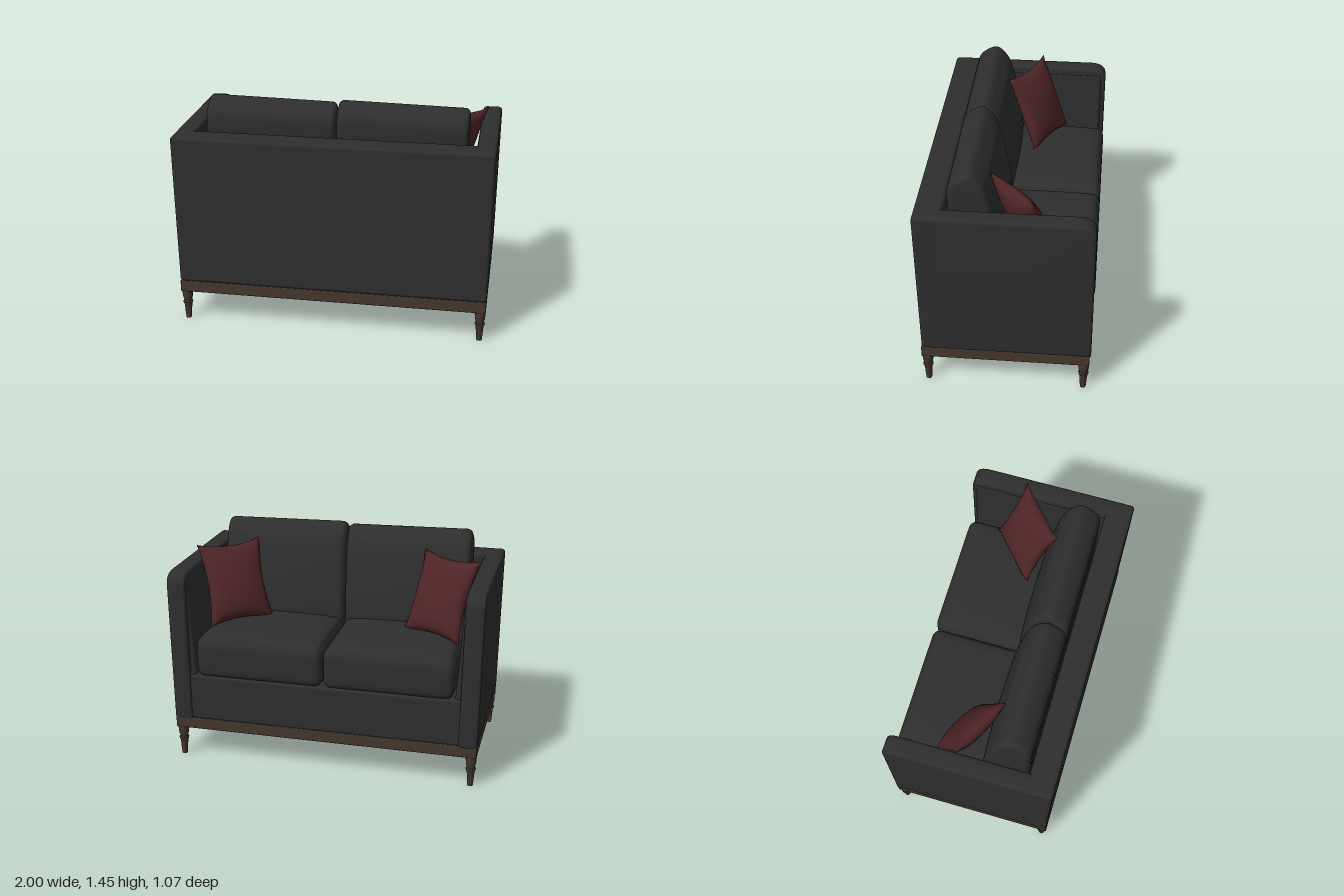
import * as THREE from 'three';
import { mergeVertices, toCreasedNormals } from 'three/addons/utils/BufferGeometryUtils.js';
import { RoundedBoxGeometry } from 'three/addons/geometries/RoundedBoxGeometry.js';

const material = (name, color) => {
  const m = new THREE.MeshStandardMaterial({ color });
  m.name = name;
  return m;
};

// Moves every vertex by a rule
function reshape(geo, rule) {
  const p = geo.attributes.position, v = new THREE.Vector3();
  for (let i = 0; i < p.count; i++) {
    rule(v.fromBufferAttribute(p, i));
    p.setXYZ(i, v.x, v.y, v.z);
  }
  return geo;
}

// Welds a subdivided box and gives it smooth normals
function smooth(geo) {
  geo.deleteAttribute('uv');
  geo.deleteAttribute('normal');
  const g = mergeVertices(geo, 1e-5);
  g.computeVertexNormals();
  return g;
}

// Outer shell narrows slightly toward the base
const taper = geo => reshape(geo, v => {
  const t = THREE.MathUtils.clamp((1.1 - v.y) / 0.83, 0, 1);
  v.x *= 1 - 0.012 * t;
  if (v.z > 0.4) v.z -= 0.015 * t;
});

// Extrudes a (z, y) outline along x, centred on x = 0, with rounded ends
function sideExtrude(shape, width, bevel, steps = 1) {
  const geo = new THREE.ExtrudeGeometry(shape, {
    depth: width - 2 * bevel, steps, curveSegments: 8,
    bevelThickness: bevel, bevelSize: bevel, bevelOffset: -bevel, bevelSegments: 5,
  });
  geo.translate(0, 0, -(width / 2 - bevel));
  return geo.rotateY(-Math.PI / 2);
}

// Rounded, crowned seat cushion
function seatCushion(w, h, d, r, crown) {
  const half = new THREE.Vector3(w / 2, h / 2, d / 2);
  const inner = half.clone().subScalar(r), low = inner.clone().negate();
  return smooth(reshape(new THREE.BoxGeometry(2, 2, 2, 20, 12, 20), v => {
    const u = v.x, s = v.z, up = Math.max(v.y, 0);
    v.set(Math.sin(v.x * Math.PI / 2), Math.sin(v.y * Math.PI / 2), Math.sin(v.z * Math.PI / 2)).multiply(half);
    const core = v.clone().clamp(low, inner);
    const out = v.clone().sub(core);
    if (out.lengthSq() > 0) v.copy(core).add(out.setLength(Math.min(r, Math.max(Math.abs(out.x), Math.abs(out.y), Math.abs(out.z)))));
    v.y += crown * up * (1 - u * u) * (1 - s * s);
  }));
}

// Throw pillow with pointed corners and edges drawn inward
function pillowGeometry(w, h, t) {
  return smooth(reshape(new THREE.BoxGeometry(2, 2, 2, 20, 20, 1), v => {
    const { x, y } = v, a = 1 - x * x, b = 1 - y * y;
    v.x = x * w / 2 * (1 - 0.13 * b * x * x);
    v.y = y * h / 2 * (1 - 0.12 * a * y * y);
    v.z = Math.sign(v.z) * t * Math.pow(Math.max(a * b, 0), 0.55);
  }));
}

export function createModel() {
  const sofa = new THREE.Group();
  sofa.name = 'sofa';
  const fabric = material('charcoal fabric', 0x2e2e2e);
  const wood = material('dark wood', 0x45372e);
  const red = material('dark red fabric', 0x4f2527);

  const add = (name, geo, mat, x = 0, y = 0, z = 0) => {
    const mesh = new THREE.Mesh(geo, mat);
    mesh.name = name;
    mesh.position.set(x, y, z);
    sofa.add(mesh);
    return mesh;
  };

  // Wooden base and turned legs
  add('basePlinth', new RoundedBoxGeometry(1.97, 0.075, 1.04, 2, 0.006), wood, 0, 0.2375, 0);
  const legProfile = [[0, 0], [0.018, 0], [0.025, 0.1], [0.031, 0.108], [0.032, 0.118], [0.026, 0.126],
    [0.026, 0.136], [0.031, 0.146], [0.034, 0.175], [0.034, 0.205]].map(p => new THREE.Vector2(...p));
  const legGeo = toCreasedNormals(new THREE.LatheGeometry(legProfile, 20), 0.6);
  for (const x of [-0.95, 0.95])
    for (const z of [-0.485, 0.485]) add('leg', legGeo, wood, x, 0, z);

  // Back panel
  const back = new RoundedBoxGeometry(2, 0.985, 0.168, 4, 0.022).translate(0, 0.7625, 0.448);
  add('backPanel', taper(back), fabric);

  // Arms with a rounded front top corner, and their slanted inner pads
  const armShape = new THREE.Shape();
  armShape.moveTo(0.47, 0.27);
  armShape.lineTo(0.47, 1.255);
  armShape.lineTo(-0.43, 1.255);
  armShape.bezierCurveTo(-0.49, 1.253, -0.528, 1.23, -0.528, 1.17);
  armShape.lineTo(-0.528, 0.27);
  armShape.closePath();
  for (const s of [-1, 1]) {
    const arm = sideExtrude(armShape, 0.12, 0.02).translate(s * 0.94, 0, 0);
    add('arm', toCreasedNormals(taper(arm), 0.6), fabric);
    const pad = add('armInnerPad', new RoundedBoxGeometry(0.06, 0.72, 0.88, 3, 0.02), fabric, s * 0.883, 0.85, -0.06);
    pad.rotation.z = -s * 0.06;
  }

  // Seat platform behind the front rail
  add('seatPlatform', new RoundedBoxGeometry(1.8, 0.31, 0.92, 3, 0.02), fabric, 0, 0.422, -0.055);

  // Back cushion outline as (z, y)
  const outline = new THREE.CatmullRomCurve3([[0.06, 0.76], [0.045, 0.9], [0.075, 1.12], [0.115, 1.3], [0.16, 1.4],
    [0.22, 1.447], [0.29, 1.42], [0.342, 1.365], [0.348, 1.2], [0.345, 0.95], [0.33, 0.76]]
    .map(([z, y]) => new THREE.Vector3(z, y - 1.1, 0)), true);
  const backShape = new THREE.Shape(outline.getPoints(48).slice(0, -1).map(p => new THREE.Vector2(p.x, p.y)));
  const backCushion = toCreasedNormals(reshape(sideExtrude(backShape, 0.815, 0.035, 10), v => {
    if (v.z < 0.15) v.z -= 0.015 * (1 - (v.x / 0.41) ** 2);
  }), 1);

  // Paired seat and back cushions
  const seat = seatCushion(0.825, 0.26, 0.77, 0.055, 0.035);
  for (const s of [-1, 1]) {
    add('seatCushion', seat, fabric, s * 0.415, 0.7, -0.148);
    add('backCushion', backCushion, fabric, s * 0.412, 1.1, 0).rotation.z = -0.018;
  }

  // Throw pillows leaning into the two corners
  const pillow = pillowGeometry(0.44, 0.54, 0.075);
  for (const [x, z, turn] of [[0.69, -0.1, Math.PI + 0.72], [-0.67, -0.08, 2.65]])
    add('throwPillow', pillow, red, x, 1.09, z).rotation.set(-0.4, turn, 0, 'YXZ');

  return sofa;
}
